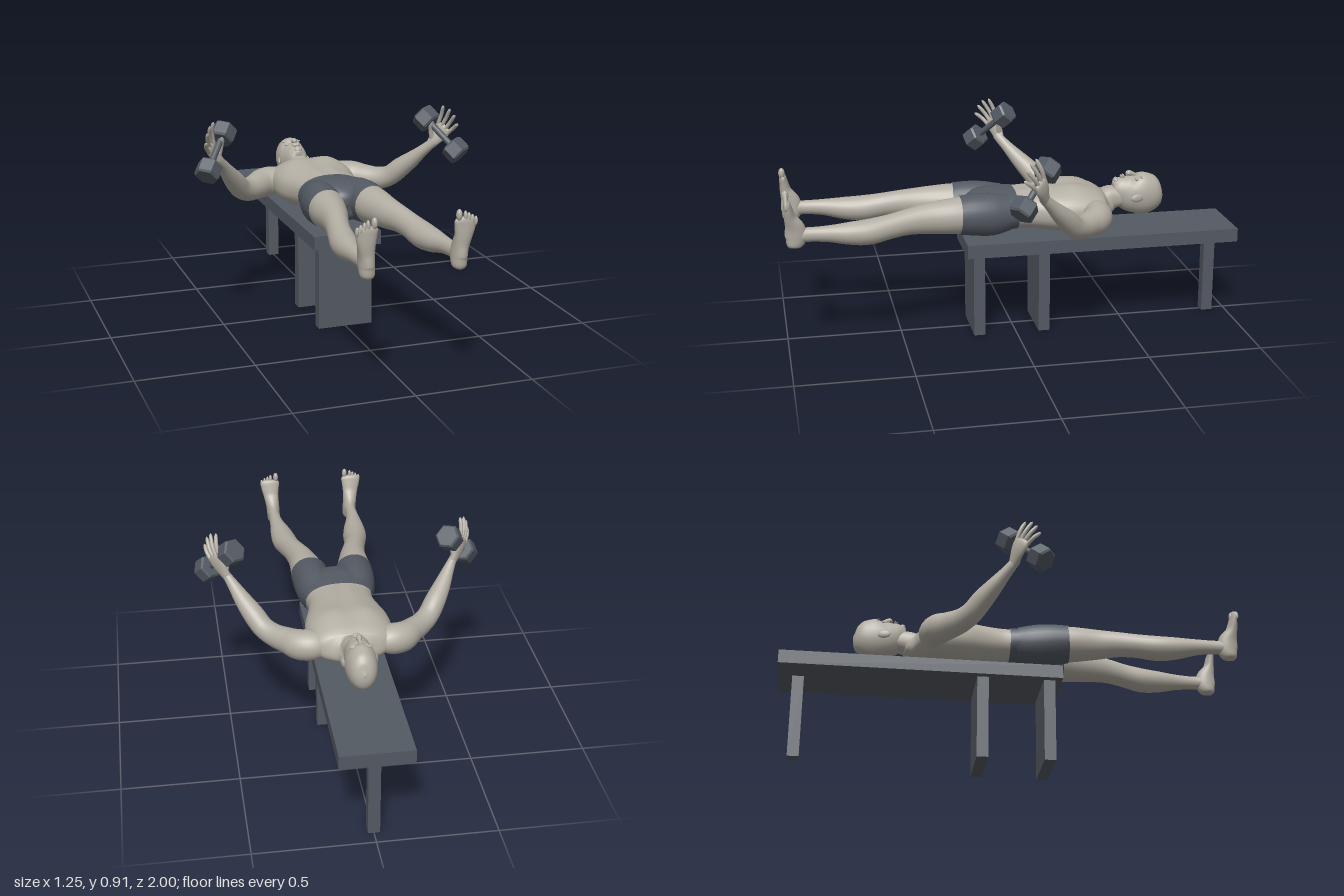
import * as THREE from 'three';

const skin = new THREE.MeshStandardMaterial({ color: 0xb3aea3 });
skin.name = 'skin';
const dark = new THREE.MeshStandardMaterial({ color: 0x545a63 });
dark.name = 'slate';
const X = new THREE.Vector3(1, 0, 0), Y = new THREE.Vector3(0, 1, 0), Z = new THREE.Vector3(0, 0, 1);

// Smooth tube through sections [x, y, z, radiusU, radiusV]; radiusV lies along ref.
function loft(sections, ref, { sides = 24, steps = 5, power = 1, rule } = {}) {
  const curve = (f) => new THREE.CatmullRomCurve3(sections.map(f), false, 'catmullrom', 0.5);
  const path = curve((s) => new THREE.Vector3(s[0], s[1], s[2]));
  const radii = curve((s) => new THREE.Vector3(s[3], s[4], 0));
  const n = (sections.length - 1) * steps, pos = [], idx = [];
  const soft = (a) => Math.sign(a) * Math.abs(a) ** power;
  for (let i = 0; i <= n; i++) {
    const c = path.getPoint(i / n), r = radii.getPoint(i / n), t = path.getTangent(i / n);
    const v = ref.clone().addScaledVector(t, -t.dot(ref)).normalize();
    const u = v.clone().cross(t);
    for (let j = 0; j < sides; j++) {
      const a = (j / sides) * Math.PI * 2;
      const p = c.clone().addScaledVector(u, soft(Math.cos(a)) * Math.max(r.x, 0.0005))
        .addScaledVector(v, soft(Math.sin(a)) * Math.max(r.y, 0.0005));
      if (rule) rule(p, Math.sin(a));
      pos.push(p.x, p.y, p.z);
      if (i < n) {
        const k = i * sides + j, l = i * sides + ((j + 1) % sides);
        idx.push(k, l, k + sides, l, l + sides, k + sides);
      }
    }
  }
  const g = new THREE.BufferGeometry();
  g.setAttribute('position', new THREE.Float32BufferAttribute(pos, 3));
  g.setIndex(idx);
  g.computeVertexNormals();
  return g;
}

function add(parent, name, geometry, material, x = 0, y = 0, z = 0) {
  const m = new THREE.Mesh(geometry, material);
  m.name = name;
  m.position.set(x, y, z);
  parent.add(m);
  return m;
}
const ball = (parent, name, x, y, z, rx, ry, rz) =>
  add(parent, name, new THREE.SphereGeometry(1, 16, 12).scale(rx, ry, rz), skin, x, y, z);
const bump = (a, b) => Math.exp(-a * a - b * b);

function bench() {
  const g = new THREE.Group();
  g.name = 'bench';
  const box = (name, w, h, d, y, z) => add(g, name, new THREE.BoxGeometry(w, h, d), dark, 0, y, z);
  box('benchTop', 0.304, 0.06, 1.22, 0.4, -0.39);
  box('frontPanel', 0.244, 0.37, 0.05, 0.185, 0.165);
  box('middlePanel', 0.244, 0.37, 0.05, 0.185, -0.125);
  box('backPost', 0.05, 0.37, 0.05, 0.185, -0.915);
  return g;
}

function head() {
  const g = new THREE.Group();
  g.name = 'head';
  // Skull with shallow eye sockets pressed into the face
  add(g, 'skull', loft([
    [0, 0.585, -0.688, 0.001, 0.001], [0, 0.583, -0.677, 0.035, 0.05], [0, 0.58, -0.65, 0.056, 0.08],
    [0, 0.577, -0.6, 0.066, 0.096], [0, 0.58, -0.55, 0.064, 0.088], [0, 0.595, -0.51, 0.055, 0.073],
    [0, 0.612, -0.48, 0.043, 0.052], [0, 0.622, -0.463, 0.025, 0.033], [0, 0.623, -0.457, 0.001, 0.001],
  ], Y, { rule: (p, s) => {
    if (s > 0) p.y -= 0.009 * bump((Math.abs(p.x) - 0.026) / 0.015, (p.z + 0.562) / 0.015);
  } }), skin);
  add(g, 'nose', loft([
    [0, 0.658, -0.575, 0.005, 0.006], [0, 0.667, -0.55, 0.008, 0.01],
    [0, 0.671, -0.53, 0.013, 0.014], [0, 0.662, -0.52, 0.003, 0.003],
  ], Y, { sides: 12 }), skin);
  ball(g, 'upperLip', 0, 0.661, -0.507, 0.021, 0.007, 0.005);
  ball(g, 'lowerLip', 0, 0.659, -0.498, 0.018, 0.007, 0.005);
  ball(g, 'chin', 0, 0.642, -0.473, 0.019, 0.015, 0.013);
  for (const s of [-1, 1]) {
    ball(g, 'eyelid', s * 0.026, 0.649, -0.562, 0.013, 0.008, 0.008);
    ball(g, 'brow', s * 0.027, 0.658, -0.583, 0.019, 0.006, 0.006);
    ball(g, 'ear', s * 0.068, 0.573, -0.556, 0.008, 0.018, 0.03).rotation.y = s * 0.2;
  }
  return g;
}

function torso() {
  const g = new THREE.Group();
  g.name = 'torso';
  // Neck, shoulders, ribs and waist, with chest muscles and a midline groove
  add(g, 'trunk', loft([
    [0, 0.57, -0.5, 0.046, 0.045], [0, 0.565, -0.45, 0.052, 0.053], [0, 0.553, -0.425, 0.075, 0.058],
    [0, 0.547, -0.4, 0.145, 0.066], [0, 0.545, -0.355, 0.175, 0.085], [0, 0.543, -0.28, 0.184, 0.1],
    [0, 0.545, -0.2, 0.178, 0.1], [0, 0.548, -0.11, 0.154, 0.091], [0, 0.55, -0.04, 0.142, 0.085],
    [0, 0.55, 0.02, 0.146, 0.083],
  ], Y, { sides: 48, power: 0.85, rule: (p, s) => {
    if (s <= 0) return;
    const x = Math.abs(p.x);
    p.y += s * 0.014 * bump((x - 0.08) / 0.06, (p.z + 0.275) / 0.065);
    p.y += s * 0.005 * bump((x - 0.035) / 0.025, (p.z + 0.09) / 0.08);
    p.y -= s * 0.006 * bump(x / 0.012, (p.z + 0.18) / 0.16);
  } }), skin);
  add(g, 'shortsSeat', loft([
    [0, 0.55, -0.008, 0.15, 0.087], [0, 0.55, 0.05, 0.159, 0.09], [0, 0.55, 0.11, 0.155, 0.09],
    [0, 0.555, 0.17, 0.115, 0.077], [0, 0.56, 0.205, 0.05, 0.05], [0, 0.56, 0.218, 0.001, 0.001],
  ], Y, { sides: 36, power: 0.88 }), dark);
  return g;
}

function leg(s) {
  const g = new THREE.Group();
  g.name = s > 0 ? 'leftLeg' : 'rightLeg';
  const m = (list) => list.map(([x, ...r]) => [x * s, ...r]);
  add(g, 'shortsLeg', loft(m([
    [0.08, 0.55, 0.03, 0.074, 0.08], [0.089, 0.548, 0.1, 0.084, 0.093],
    [0.097, 0.553, 0.17, 0.085, 0.092], [0.102, 0.557, 0.25, 0.083, 0.084],
  ]), Y), dark);
  add(g, 'thighAndCalf', loft(m([
    [0.1, 0.556, 0.22, 0.079, 0.081], [0.107, 0.556, 0.28, 0.075, 0.078], [0.119, 0.556, 0.38, 0.06, 0.068],
    [0.138, 0.553, 0.47, 0.05, 0.057], [0.155, 0.543, 0.55, 0.049, 0.053], [0.169, 0.53, 0.64, 0.055, 0.055],
    [0.178, 0.531, 0.72, 0.049, 0.049], [0.187, 0.538, 0.81, 0.033, 0.036], [0.19, 0.541, 0.89, 0.026, 0.031],
    [0.19, 0.541, 0.95, 0.028, 0.034],
  ]), Y), skin);
  // Foot pointing up, sole facing the front
  add(g, 'foot', loft(m([
    [0.188, 0.483, 0.963, 0.001, 0.001], [0.188, 0.495, 0.962, 0.026, 0.029], [0.189, 0.53, 0.95, 0.031, 0.045],
    [0.192, 0.575, 0.953, 0.032, 0.042], [0.197, 0.62, 0.97, 0.036, 0.026], [0.2, 0.66, 0.977, 0.043, 0.019],
    [0.2, 0.69, 0.981, 0.042, 0.013], [0.2, 0.702, 0.982, 0.001, 0.001],
  ]), Z), skin);
  for (let i = 0; i < 5; i++) {
    const r = i ? 0.0085 - i * 0.0003 : 0.012;
    ball(g, 'toe', s * (i ? 0.182 + i * 0.0145 : 0.171), 0.708 - i * 0.007, 0.985, r, 0.023 - i * 0.001, r + 0.002);
  }
  return g;
}

function arm(s) {
  const g = new THREE.Group();
  g.name = s > 0 ? 'leftArm' : 'rightArm';
  add(g, 'upperArmAndForearm', loft([
    [0.1, 0.545, -0.345, 0.04, 0.04], [0.155, 0.542, -0.347, 0.062, 0.064], [0.215, 0.537, -0.332, 0.066, 0.064],
    [0.265, 0.535, -0.285, 0.058, 0.054], [0.312, 0.537, -0.24, 0.052, 0.048], [0.355, 0.556, -0.2, 0.047, 0.046],
    [0.392, 0.6, -0.16, 0.045, 0.045], [0.43, 0.647, -0.115, 0.036, 0.037], [0.463, 0.693, -0.073, 0.026, 0.026],
    [0.49, 0.73, -0.04, 0.022, 0.018], [0.5, 0.745, -0.03, 0.022, 0.016],
  ].map(([x, ...r]) => [x * s, ...r]), new THREE.Vector3(-0.76 * s, 0.3, 0.64)), skin);

  // Hand frame: a along the fingers, b across the palm, c out of the palm
  const dir = new THREE.Vector3(0.358, 0.835, 0.418), across = new THREE.Vector3(0.487, -0.641, 0.59);
  const palm = new THREE.Vector3(-0.76, 0, 0.64);
  const at = (a, b, c, ...r) => {
    const p = new THREE.Vector3(0.49, 0.73, -0.04).addScaledVector(dir, a)
      .addScaledVector(across, b).addScaledVector(palm, c);
    return [p.x * s, p.y, p.z, ...r];
  };
  const ref = palm.clone().setX(-palm.x * -s);
  add(g, 'palm', loft([
    at(-0.01, 0, 0, 0.021, 0.016), at(0.02, 0, -0.007, 0.028, 0.016), at(0.06, 0, -0.016, 0.037, 0.014),
    at(0.095, 0, -0.018, 0.037, 0.011), at(0.11, 0, -0.016, 0.001, 0.001),
  ], ref), skin);
  const lengths = [0.078, 0.092, 0.088, 0.068];
  lengths.forEach((l, i) => {
    const b = (i - 1.5) * 0.02;
    add(g, 'finger', loft([
      at(0.085, b, -0.017, 0.009, 0.009), at(0.1 + l * 0.4, b * 1.35, -0.014, 0.009, 0.009),
      at(0.1 + l * 0.85, b * 1.65, -0.002, 0.0075, 0.0075), at(0.1 + l, b * 1.75, 0.003, 0.001, 0.001),
    ], ref, { sides: 10 }), skin);
  });
  add(g, 'thumb', loft([
    at(0.02, -0.012, -0.004, 0.012, 0.012), at(0.055, -0.038, 0.008, 0.011, 0.011),
    at(0.085, -0.05, 0.018, 0.009, 0.009), at(0.105, -0.052, 0.02, 0.001, 0.001),
  ], ref, { sides: 10 }), skin);

  // Six-sided dumbbell with bevelled ends
  const bell = new THREE.Group();
  bell.name = 'dumbbell';
  bell.position.set(0.518 * s, 0.782, 0.0025);
  bell.quaternion.setFromUnitVectors(Y, new THREE.Vector3(-0.487 * s, 0.641, -0.59).normalize());
  add(bell, 'handle', new THREE.CylinderGeometry(0.014, 0.014, 0.16, 16), dark);
  const profile = [[0, -0.036], [0.047, -0.036], [0.055, -0.028], [0.055, 0.028], [0.047, 0.036], [0, 0.036]];
  const hex = new THREE.LatheGeometry(profile.map(([r, y]) => new THREE.Vector2(r, y)), 6).toNonIndexed();
  hex.computeVertexNormals();
  for (const e of [-1, 1]) add(bell, 'weight', hex, dark, 0, e * 0.099, 0);
  g.add(bell);
  return g;
}

export function createModel() {
  const model = new THREE.Group();
  model.name = 'benchExercise';
  model.add(bench(), head(), torso());
  for (const s of [-1, 1]) model.add(leg(s), arm(s));
  return model;
}
